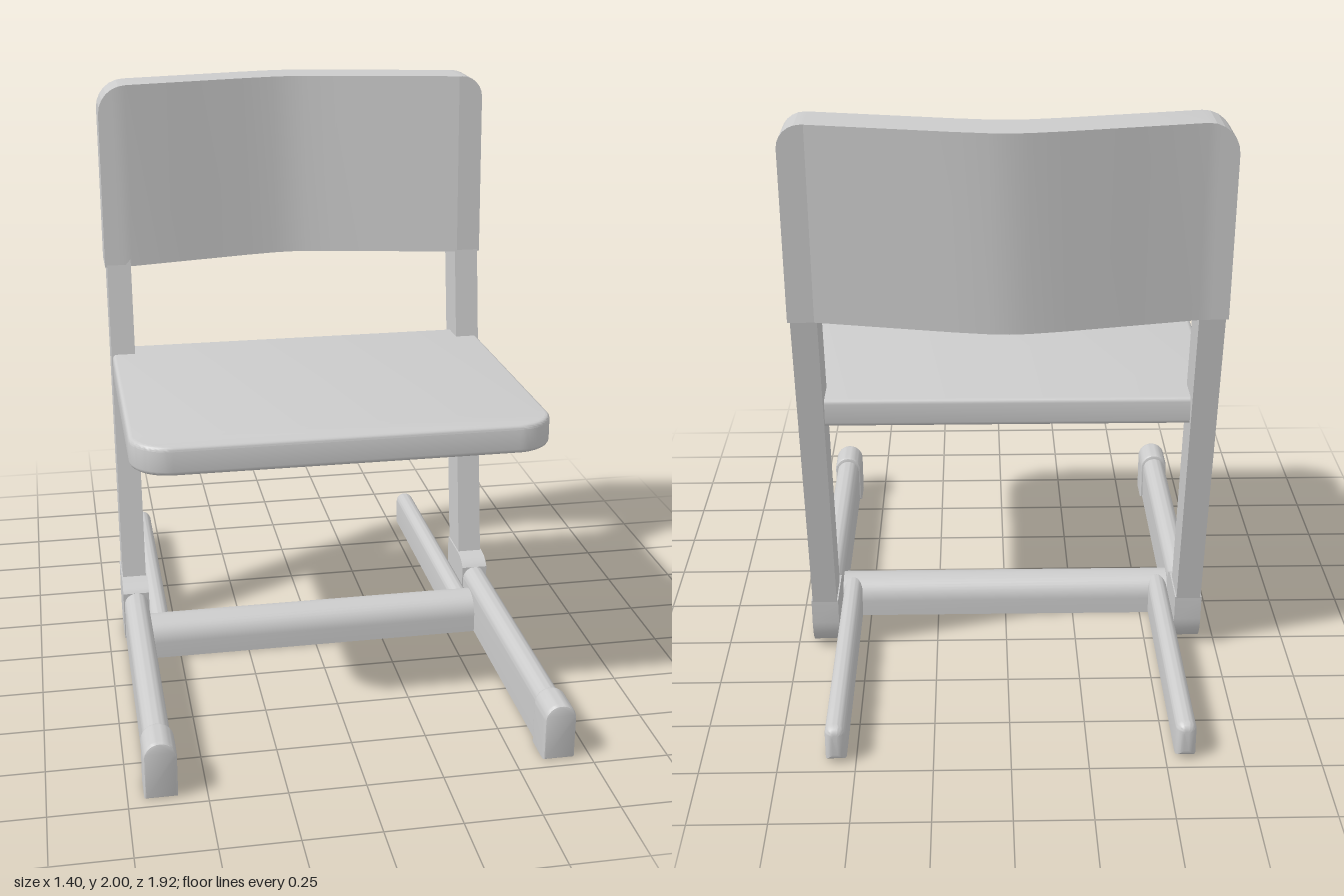
import * as THREE from 'three';
import { toCreasedNormals } from 'three/addons/utils/BufferGeometryUtils.js';

const material = new THREE.MeshStandardMaterial({ color: 0xcccccc });

function addPart(parent, name, geometry, x = 0, y = 0, z = 0, crease = 0.5) {
  const mesh = new THREE.Mesh(toCreasedNormals(geometry, crease), material);
  mesh.name = name;
  mesh.position.set(x, y, z);
  parent.add(mesh);
  return mesh;
}

// Tube section: flat bottom, straight sides, domed top
function archShape(width, height) {
  const r = width / 2;
  const s = new THREE.Shape();
  s.moveTo(-r, 0);
  s.lineTo(r, 0);
  s.lineTo(r, height - r);
  s.absarc(0, height - r, r, 0, Math.PI, false);
  s.closePath();
  return s;
}

// Extrude a section from z0 to z1, optionally with rounded ends
function alongZ(shape, z0, z1, bevel = 0, size = bevel) {
  const g = new THREE.ExtrudeGeometry(shape, {
    depth: z1 - z0 - 2 * bevel, curveSegments: 10, bevelEnabled: bevel > 0,
    bevelThickness: bevel, bevelSize: size, bevelOffset: -size, bevelSegments: 4,
  });
  return g.translate(0, 0, z0 + bevel);
}

// Extrude a (z, y) side profile across x, centred
const alongX = (shape, width) => alongZ(shape, -width / 2, width / 2).rotateY(-Math.PI / 2);

const profile = (points) => new THREE.Shape(points.map(([z, y]) => new THREE.Vector2(z, y)));

// Backrest: four-cornered sections swept across x, bowed back in the middle
function backrestGeometry() {
  const half = 0.695, bottom = 1.355, top = 2;
  const bow = [[0, 0.112], [0.06, 0.108], [0.17, 0.09], [0.39, 0.045], [0.61, 0], [half, 0]];
  const stations = [];
  const addCorner = (sign, r) => {
    for (let i = 0; i <= 6; i++) {
      const a = (i / 6) * Math.PI / 2;
      stations.push([sign * (half - r + r * Math.sin(a)), top - r + r * Math.cos(a)]);
    }
  };
  addCorner(-1, 0.1);
  addCorner(1, 0.075);
  for (const x of [-0.39, -0.17, -0.06, 0, 0.06, 0.17, 0.39, 0.61]) stations.push([x, top]);
  stations.sort((a, b) => a[0] - b[0]);

  const bowAt = (x) => {
    const ax = Math.min(Math.abs(x), half);
    const i = Math.max(1, bow.findIndex(([bx]) => bx >= ax - 1e-6));
    const [x0, z0] = bow[i - 1], [x1, z1] = bow[i];
    return z0 + (z1 - z0) * (ax - x0) / (x1 - x0);
  };
  const position = [], index = [];
  stations.forEach(([x, y]) => {
    const lean = 0.055 * (y - bottom), b = bowAt(x);
    position.push(x, bottom, -0.365 - b, x, y, -0.365 - b - lean,
      x, y, -0.522 - b - lean, x, bottom, -0.522 - b);
  });
  for (let i = 0; i < stations.length - 1; i++) {
    for (let k = 0; k < 4; k++) {
      const a = i * 4 + k, b = i * 4 + (k + 1) % 4;
      index.push(a, a + 4, b, b, a + 4, b + 4);
    }
  }
  const e = (stations.length - 1) * 4;
  index.push(0, 1, 2, 0, 2, 3, e, e + 2, e + 1, e, e + 3, e + 2);
  const g = new THREE.BufferGeometry();
  g.setAttribute('position', new THREE.Float32BufferAttribute(position, 3));
  g.setIndex(index);
  return g;
}

// Seat board: rounded front corners, square back corners, softened rim
function seatGeometry() {
  const w = 0.684, front = 0.682, back = -0.42, r = 0.13;
  const s = new THREE.Shape();
  s.moveTo(-w, back);
  s.lineTo(w, back);
  s.lineTo(w, front - r);
  s.absarc(w - r, front - r, r, 0, Math.PI / 2, false);
  s.absarc(-w + r, front - r, r, Math.PI / 2, Math.PI, false);
  s.closePath();
  return alongZ(s, 0, 0.096, 0.015).rotateX(Math.PI / 2).rotateX(-0.02);
}

export function createModel() {
  const chair = new THREE.Group();
  chair.name = 'chair';

  addPart(chair, 'seat', seatGeometry(), 0, 1.046, 0);
  addPart(chair, 'backrest', backrestGeometry(), 0, 0, 0, 0.15);

  // Cross tube joining the two floor rails
  addPart(chair, 'crossbar', alongZ(archShape(0.15, 0.135), -0.61, 0.61).rotateY(Math.PI / 2), 0, 0, 0);

  // Leaning upright and the elbow that holds it
  const post = profile([[-0.165, 0.15], [-0.38, 1.45], [-0.52, 1.4], [-0.305, 0.15]]);
  const elbow = new THREE.Shape();
  elbow.moveTo(-0.095, 0);
  elbow.lineTo(-0.095, 0.18);
  elbow.quadraticCurveTo(-0.12, 0.212, -0.175, 0.212);
  elbow.lineTo(-0.315, 0.212);
  elbow.lineTo(-0.312, 0.12);
  elbow.quadraticCurveTo(-0.3, 0.012, -0.2, 0);
  elbow.closePath();

  for (const [side, sign] of [['left', 1], ['right', -1]]) {
    const frame = new THREE.Group();
    frame.name = side + 'Frame';
    const x = sign * 0.645;
    addPart(frame, side + 'Post', alongX(post, 0.085), x);
    addPart(frame, side + 'Elbow', alongX(elbow, 0.094), x);
    addPart(frame, side + 'Rail', alongZ(archShape(0.087, 0.18), -0.2, 0.9), x);
    addPart(frame, side + 'RailCap', alongZ(archShape(0.106, 0.196), 0.835, 0.96, 0.015, 0.006), x);
    addPart(frame, side + 'RearFoot', alongZ(archShape(0.068, 0.125), -0.96, 0, 0.03, 0.026), sign * 0.565, 0.008);
    chair.add(frame);
  }
  return chair;
}
